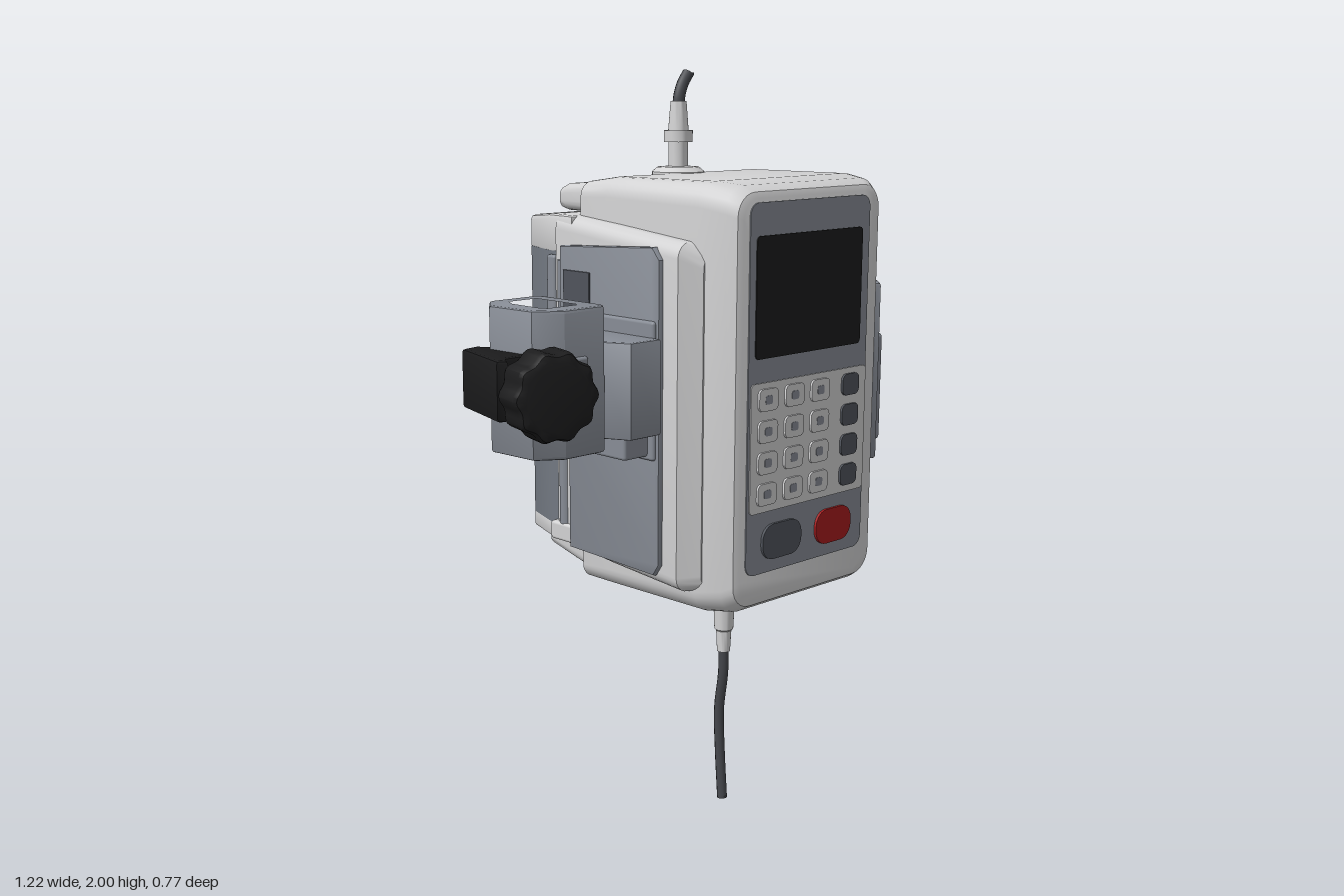
import * as THREE from 'three';
import { toCreasedNormals } from 'three/addons/utils/BufferGeometryUtils.js';
import { RoundedBoxGeometry } from 'three/addons/geometries/RoundedBoxGeometry.js';

const mat = (name, color) => Object.assign(new THREE.MeshStandardMaterial({ color }), { name });
const M = {
  shell: mat('light grey shell', 0xd2d2d3),
  grey: mat('panel grey', 0x878c95),
  slate: mat('battery slate', 0x737982),
  dark: mat('dark grey', 0x50545c),
  cable: mat('cable grey', 0x45474c),
  black: mat('black', 0x1c1c1d),
  red: mat('red', 0xa81c1e),
};

// Rounded rectangle outline, counter-clockwise
function rectPoints(x0, x1, y0, y1, r, n = 6) {
  const pts = [];
  [[x1 - r, y0 + r], [x1 - r, y1 - r], [x0 + r, y1 - r], [x0 + r, y0 + r]].forEach(([cx, cy], k) => {
    for (let i = 0; i <= n; i++) {
      const a = (k - 1 + i / n) * Math.PI / 2;
      pts.push(new THREE.Vector2(cx + r * Math.cos(a), cy + r * Math.sin(a)));
    }
  });
  return pts;
}

// Skin over rounded rectangles [z, x0, x1, y0, y1, r], listed front to back
function loft(sections) {
  const pos = [], idx = [], n = 28;
  for (const [z, ...s] of sections) for (const p of rectPoints(...s)) pos.push(p.x, p.y, z);
  for (let i = 0; i < sections.length - 1; i++) for (let j = 0; j < n; j++) {
    const a = i * n + j, b = i * n + (j + 1) % n;
    idx.push(a, a + n, b, b, a + n, b + n);
  }
  const last = (sections.length - 1) * n;
  for (let j = 1; j < n - 1; j++) idx.push(0, j, j + 1, last, last + j + 1, last + j);
  const g = new THREE.BufferGeometry();
  g.setAttribute('position', new THREE.Float32BufferAttribute(pos, 3));
  g.setIndex(idx);
  return toCreasedNormals(g.toNonIndexed(), 0.6);
}

// Extrusion whose bevel stays inside the outline and the depth
function extrude(pts, depth, bevel, hole) {
  const shape = new THREE.Shape(pts.map(p => (p.isVector2 ? p : new THREE.Vector2(...p))));
  if (hole) shape.holes.push(new THREE.Path(hole.map(p => new THREE.Vector2(...p))));
  const g = new THREE.ExtrudeGeometry(shape, {
    depth: depth - 2 * bevel, bevelEnabled: bevel > 0, bevelThickness: bevel,
    bevelSize: bevel, bevelOffset: -bevel, bevelSegments: 2,
  });
  return toCreasedNormals(g.translate(0, 0, bevel), 0.6);
}
const flipZ = pts => pts && pts.map(([x, z]) => [x, -z]);
// Upright prism from an (x, z) outline
const prism = (pts, y0, y1, bevel = 0, hole) =>
  extrude(flipZ(pts), y1 - y0, bevel, flipZ(hole)).rotateX(-Math.PI / 2).translate(0, y0, 0);
// Sideways slab from a (z, y) outline
const slab = (pts, x0, x1, bevel = 0) =>
  extrude(pts.map(([z, y]) => [-z, y]), x1 - x0, bevel).rotateY(Math.PI / 2).translate(x0, 0, 0);
// Front-facing rounded plate
const plate = (x0, x1, y0, y1, r, z0, z1) =>
  extrude(rectPoints(x0, x1, y0, y1, r), z1 - z0, 0).translate(0, 0, z0);
const box = (x0, x1, y0, y1, z0, z1, r = 0.008) =>
  new RoundedBoxGeometry(x1 - x0, y1 - y0, z1 - z0, 2, r)
    .translate((x0 + x1) / 2, (y0 + y1) / 2, (z0 + z1) / 2);
const lathe = (pts, x, z) => toCreasedNormals(
  new THREE.LatheGeometry(pts.map(p => new THREE.Vector2(...p)), 24).toNonIndexed(), 0.6).translate(x, 0, z);
const tube = (pts, r) => new THREE.TubeGeometry(
  new THREE.CatmullRomCurve3(pts.map(p => new THREE.Vector3(...p))), 30, r, 10);

export function createModel() {
  const root = new THREE.Group();
  root.name = 'handheldTerminal';
  const add = (name, geo, material, parent = root) => {
    const m = new THREE.Mesh(geo, material);
    m.name = name;
    parent.add(m);
    return m;
  };

  // Main shell, side wings and the stepped top and bottom
  add('frontShell', loft([
    [0.374, 0.0, 0.50, 0.70, 1.70, 0.05], [0.368, -0.016, 0.515, 0.68, 1.715, 0.06],
    [0.34, -0.032, 0.535, 0.662, 1.73, 0.065], [0.27, -0.052, 0.552, 0.655, 1.738, 0.06],
    [-0.06, -0.048, 0.552, 0.653, 1.735, 0.05], [-0.16, -0.045, 0.55, 0.655, 1.72, 0.04],
  ]), M.shell);
  add('topStep', loft([
    [-0.05, -0.035, 0.548, 1.64, 1.725, 0.025], [-0.25, -0.022, 0.53, 1.64, 1.71, 0.025],
    [-0.272, -0.018, 0.522, 1.645, 1.70, 0.02],
  ]), M.shell);
  add('sideWings', loft([
    [0.29, -0.05, 0.55, 0.72, 1.57, 0.04], [0.25, -0.098, 0.585, 0.715, 1.595, 0.04],
    [0.0, -0.1, 0.588, 0.735, 1.62, 0.04], [-0.21, -0.088, 0.582, 0.75, 1.638, 0.04],
  ]), M.shell);
  add('bottomStep', loft([
    [-0.14, -0.035, 0.54, 0.675, 0.80, 0.03], [-0.22, -0.03, 0.535, 0.69, 0.80, 0.03],
    [-0.345, 0.0, 0.51, 0.705, 0.78, 0.02],
  ]), M.shell);

  // Rear battery block with light caps
  const rear = [[-0.086, -0.15], [-0.078, -0.25], [-0.036, -0.37], [-0.02, -0.383], [0.53, -0.383],
    [0.546, -0.37], [0.577, -0.25], [0.584, -0.15]];
  add('batteryPack', prism(rear, 0.8, 1.54), M.slate);
  const cap = prism(rear, 1.53, 1.635, 0.012);
  const cp = cap.attributes.position;
  for (let i = 0; i < cp.count; i++) // cap top slopes down to the back
    if (cp.getY(i) > 1.6 && cp.getZ(i) < -0.3) cp.setY(i, cp.getY(i) - 0.012);
  add('rearTopCap', cap, M.shell);
  add('rearBottomCap', prism(rear, 0.76, 0.81, 0.008), M.shell);

  // Side panels, hinge strips and battery clips
  const panel = [[0.2, 1.55], [0.175, 1.58], [-0.17, 1.56], [-0.17, 1.11], [-0.14, 1.08],
    [-0.14, 0.76], [0.18, 0.75], [0.2, 0.78]];
  add('rightHandPanel', slab(panel, -0.113, -0.06, 0.008), M.grey);
  add('leftHandPanel', slab(panel, 0.55, 0.602, 0.008), M.grey);
  for (const s of [-1, 1]) {
    const x = s > 0 ? 0.577 : -0.081;
    add('hingeRod', new THREE.CylinderGeometry(0.018, 0.018, 0.72, 14).translate(x, 1.16, -0.185), M.grey);
    add('hingeFoot', box(x - 0.02, x + 0.02, 0.765, 0.815, -0.23, -0.14), M.shell);
    add('batteryClip', box(x - 0.012, x + 0.012, 1.35, 1.53, -0.245, -0.21), M.grey);
  }
  // Recess, vents and latch on one side; small patch on the other
  add('panelRecess', slab([[0.2, 0.92], [0.08, 0.91], [0.075, 1.44], [0.2, 1.42]], 0.598, 0.605), M.dark);
  [1.1, 1.07, 1.03, 1.0].forEach((y, i) =>
    add('vent', box(0.6, 0.604, y - 0.003, y + 0.003, -0.07 + (i % 2) * 0.03, 0.04, 0.001), M.dark));
  const latch = [[0.53, 0.35], [0.552, 0.355], [0.598, 0.31], [0.606, 0.2], [0.56, 0.19], [0.53, 0.25]];
  add('latch', prism(latch, 0.98, 1.455, 0.008), M.grey);
  add('latchTab', box(0.525, 0.575, 1.03, 1.32, 0.29, 0.352, 0.012), M.grey);
  add('sidePatch', box(-0.117, -0.11, 1.36, 1.5, -0.15, -0.05, 0.002), M.dark);

  // Front panel, screen, keypad and buttons
  add('bezel', plate(0.02, 0.47, 0.76, 1.69, 0.03, 0.37, 0.377), M.grey);
  add('screen', plate(0.042, 0.44, 1.31, 1.61, 0.012, 0.373, 0.38), M.black);
  add('keypadPlate', plate(0.028, 0.468, 0.92, 1.25, 0.012, 0.373, 0.38), M.shell);
  for (let row = 0; row < 4; row++) {
    const y = 1.207 - row * 0.08;
    for (let col = 0; col < 3; col++) {
      const x = 0.087 + col * 0.098;
      add('key', plate(x - 0.035, x + 0.035, y - 0.028, y + 0.028, 0.014, 0.378, 0.386), M.shell);
      add('keyMark', plate(x - 0.013, x + 0.013, y - 0.011, y + 0.011, 0.006, 0.382, 0.387), M.grey);
    }
    add('functionKey', plate(0.37, 0.435, y - 0.028, y + 0.028, 0.016, 0.378, 0.386), M.dark);
  }
  add('greyButton', plate(0.075, 0.222, 0.793, 0.885, 0.04, 0.374, 0.384), M.dark);
  add('redButton', plate(0.28, 0.42, 0.793, 0.885, 0.04, 0.374, 0.384), M.red);

  // Pole clamp
  const clamp = new THREE.Group();
  clamp.name = 'poleClamp';
  root.add(clamp);
  add('mountPlate', box(-0.122, -0.09, 1.05, 1.4, -0.14, 0.19), M.grey, clamp);
  const mount = [[-0.26, -0.095], [-0.115, -0.095], [-0.115, 0.21], [-0.215, 0.21], [-0.26, 0.12]];
  add('mountBlock', prism(mount, 1.12, 1.36, 0.006), M.grey, clamp);
  add('mountFoot', box(-0.2, -0.11, 1.06, 1.2, -0.08, 0.17), M.grey, clamp);
  const ring = [[-0.40, -0.098], [-0.25, -0.098], [-0.24, -0.08], [-0.24, 0.14], [-0.255, 0.158],
    [-0.38, 0.158], [-0.445, 0.115], [-0.455, -0.03]];
  const bore = [[-0.38, -0.06], [-0.28, -0.06], [-0.28, 0.11], [-0.39, 0.11], [-0.402, 0.08], [-0.402, -0.02]];
  add('clampRing', prism(ring, 1.09, 1.45, 0.008, bore), M.grey, clamp);
  add('clampPad', prism(bore, 1.13, 1.40), M.black, clamp);
  add('clampWindow', box(-0.39, -0.31, 1.17, 1.335, 0.13, 0.166), M.grey, clamp);
  const arm = [[-0.5, -0.08], [-0.45, -0.09], [-0.42, -0.04], [-0.44, 0.1], [-0.51, 0.1],
    [-0.53, 0.13], [-0.555, 0.12]];
  add('clampArm', prism(arm, 1.2, 1.345, 0.008), M.black, clamp);

  // Tightening knob with a lobed rim
  const knob = new THREE.Group();
  knob.name = 'clampKnob';
  knob.position.set(-0.497, 1.275, 0.235);
  knob.rotation.y = -0.26;
  clamp.add(knob);
  const rim = [];
  for (let i = 0; i < 60; i++) {
    const a = i / 60 * Math.PI * 2, r = 0.104 + 0.005 * Math.cos(a * 10);
    rim.push([r * Math.cos(a), r * Math.sin(a)]);
  }
  add('knobHead', extrude(rim, 0.11, 0.018).translate(0, 0, -0.055), M.black, knob);
  add('knobStem', new THREE.CylinderGeometry(0.036, 0.036, 0.24, 16).rotateX(Math.PI / 2)
    .translate(0, 0, -0.14), M.black, knob);

  // Upper connector and cable stub
  add('topConnector', lathe([[0, 1.72], [0.07, 1.72], [0.07, 1.738], [0.055, 1.75], [0.026, 1.752],
    [0.026, 1.815], [0.038, 1.815], [0.038, 1.845], [0.027, 1.845], [0.021, 1.92], [0, 1.92]], 0.24, -0.09), M.shell);
  add('topCable', tube([[0.24, 1.89, -0.09], [0.242, 1.93, -0.09], [0.255, 1.965, -0.09], [0.275, 1.992, -0.09]], 0.016), M.cable);

  // Lower connector and hanging cable
  add('bottomConnector', lathe([[0, 0.44], [0.018, 0.44], [0.021, 0.5], [0.026, 0.505], [0.032, 0.645],
    [0.055, 0.648], [0.055, 0.665], [0, 0.665]], 0.248, 0.09), M.shell);
  add('bottomCable', tube([[0.247, 0.48, 0.09], [0.25, 0.38, 0.088], [0.254, 0.26, 0.07],
    [0.257, 0.14, 0.072], [0.255, 0.0, 0.085]], 0.014), M.cable);
  for (const [x, y, z, r, up] of [[0.255, 0, 0.085, 0.014, -1], [0.275, 1.992, -0.09, 0.016, 1]])
    add('cableEnd', new THREE.CylinderGeometry(r, r, 0.006, 10).translate(x, y - up * 0.002 + (up < 0 ? 0.002 : 0), z), M.cable);
  return root;
}
